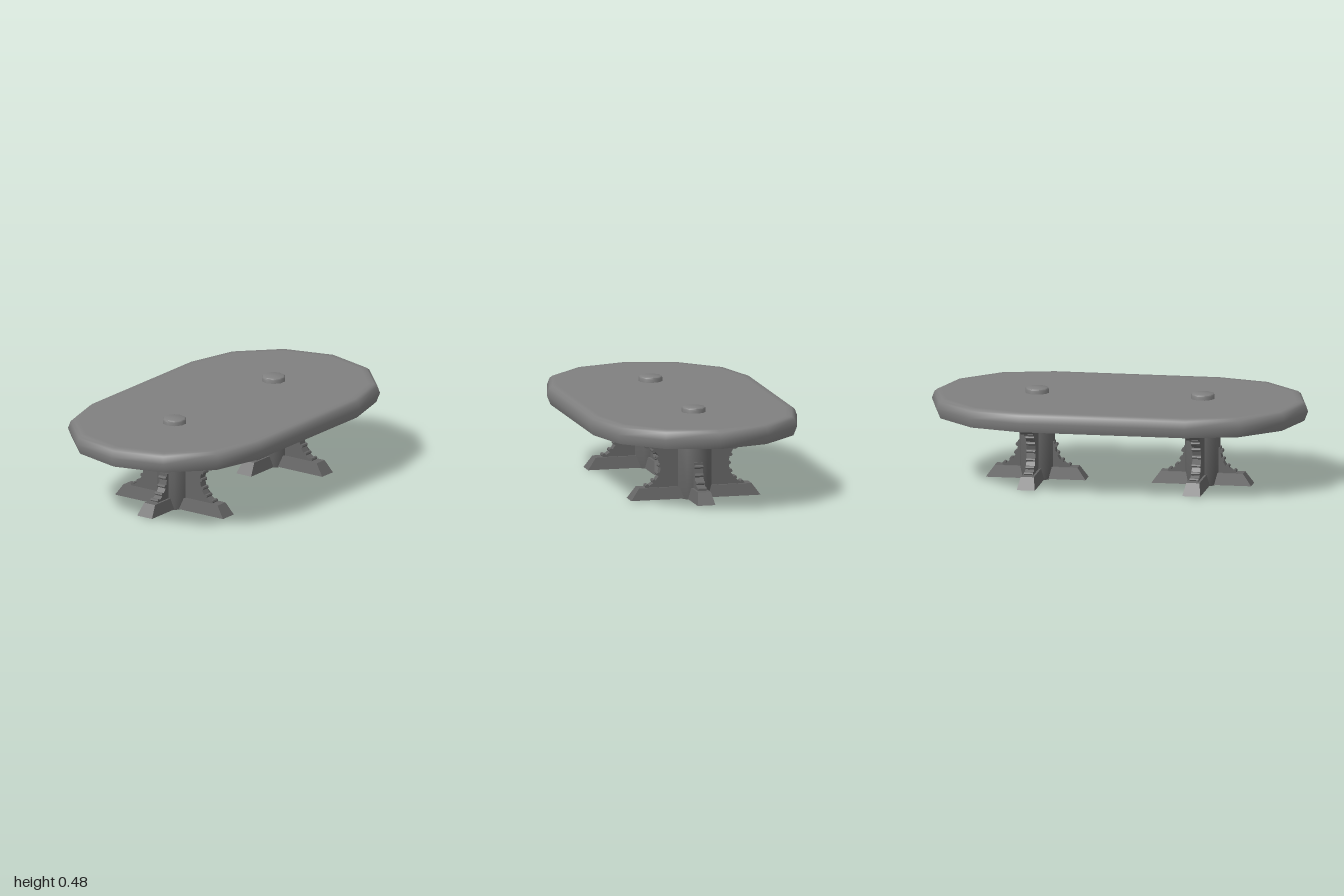
import * as THREE from 'three';
import { toCreasedNormals } from 'three/addons/utils/BufferGeometryUtils.js';

const topMaterial = new THREE.MeshStandardMaterial({ color: 0x808080 });
const baseMaterial = new THREE.MeshStandardMaterial({ color: 0x666666 });

function addMesh(parent, name, geometry, material = baseMaterial) {
  const mesh = new THREE.Mesh(geometry, material);
  mesh.name = name;
  parent.add(mesh);
  return mesh;
}

// Closed solid through horizontal rings (bottom to top), each counterclockwise from above
function loft(rings, crease) {
  const n = rings[0].length, last = (rings.length - 1) * n, index = [];
  for (let r = 0; r < last; r += n) {
    for (let i = 0; i < n; i++) {
      const j = (i + 1) % n;
      index.push(r + i, r + j, r + n + j, r + i, r + n + j, r + n + i);
    }
  }
  for (let i = 1; i < n - 1; i++) {
    index.push(0, i + 1, i, last, last + i, last + i + 1);
  }
  const geometry = new THREE.BufferGeometry();
  geometry.setAttribute('position', new THREE.Float32BufferAttribute(rings.flat(2), 3));
  geometry.setIndex(index);
  return toCreasedNormals(geometry, crease);
}

// Stadium outline: two faceted half circles joined by straight sides
function stadium(radius, y) {
  const ring = [];
  for (const [start, z] of [[-90, 0.438], [90, -0.438]]) {
    for (let i = 0; i <= 6; i++) {
      const a = THREE.MathUtils.degToRad(start + i * 30);
      ring.push([radius * Math.sin(a), y, z + radius * Math.cos(a)]);
    }
  }
  return ring;
}

const rect = (l, w, y) => [[-l, y, w], [l, y, w], [l, y, -w], [-l, y, -w]];

// Beam with sloping ends and sides
function beam(bottom, top) {
  return loft([rect(...bottom), rect(...top)], 0.1);
}

// Ten-sided turned part
function turned(points) {
  const profile = points.map(([r, y]) => new THREE.Vector2(r, y));
  return toCreasedNormals(new THREE.LatheGeometry(profile, 10), 0.72);
}

// Bracket with a scooped, beaded outer edge; steps = 8 is a full scoop, 4 the lower half
function addBracket(parent, cx, steps, topY, angle) {
  const group = new THREE.Group();
  group.name = 'bracket';
  group.rotation.y = angle;
  const cy = 0.178, radius = 0.118, beadRadius = 0.114, width = 0.047;
  const shape = new THREE.Shape();
  shape.moveTo(0.02, 0.06);
  for (let i = 0; i <= steps; i++) {
    const a = Math.PI * (1.5 - i / 8), c = Math.cos(a), s = Math.sin(a);
    shape.lineTo(cx + radius * c, cy + radius * s);
    if (i > 0 && i < 8) {
      const bead = new THREE.CylinderGeometry(0.01, 0.01, width, 8).rotateX(Math.PI / 2);
      addMesh(group, 'bead', toCreasedNormals(bead, 0.9))
        .position.set(cx + beadRadius * c, cy + beadRadius * s, 0);
    }
  }
  if (steps < 8) shape.lineTo(cx - radius, topY);
  shape.lineTo(0.02, topY);
  const geometry = new THREE.ExtrudeGeometry(shape, { depth: width, bevelEnabled: false });
  addMesh(group, 'bracketPanel', geometry.translate(0, 0, -width / 2));
  parent.add(group);
}

function createPedestal() {
  const pedestal = new THREE.Group();
  pedestal.name = 'pedestal';
  addMesh(pedestal, 'column', turned([
    [0, 0], [0.083, 0], [0.0946, 0.063], [0.0946, 0.293], [0.083, 0.356], [0, 0.356],
  ]));
  // Crossed feet and the upper support
  addMesh(pedestal, 'crossFoot', beam([0.35, 0.048, 0.003], [0.305, 0.035, 0.065]));
  addMesh(pedestal, 'longFoot', beam([0.265, 0.048, 0.003], [0.22, 0.035, 0.065])).rotation.y = Math.PI / 2;
  addMesh(pedestal, 'topSupport', beam([0.305, 0.035, 0.293], [0.35, 0.048, 0.356]));
  for (const turn of [0, Math.PI]) {
    addBracket(pedestal, 0.3, 8, 0.296, turn);
    addBracket(pedestal, 0.215, 4, 0.2, turn + Math.PI / 2);
  }
  // Peg end showing above the tabletop
  addMesh(pedestal, 'peg', turned([
    [0, 0.44], [0.0635, 0.44], [0.0635, 0.472], [0.061, 0.479], [0.054, 0.483], [0, 0.483],
  ]), topMaterial);
  return pedestal;
}

export function createModel() {
  const table = new THREE.Group();
  table.name = 'table';
  // Softly rounded rim with a sharp lower edge
  addMesh(table, 'tabletop', loft([
    stadium(0.542, 0.355), stadium(0.562, 0.405), stadium(0.548, 0.443),
    stadium(0.532, 0.455), stadium(0.5, 0.455),
  ], 0.95), topMaterial);
  for (const z of [0.44, -0.44]) {
    const pedestal = createPedestal();
    pedestal.position.z = z;
    table.add(pedestal);
  }
  return table;
}
